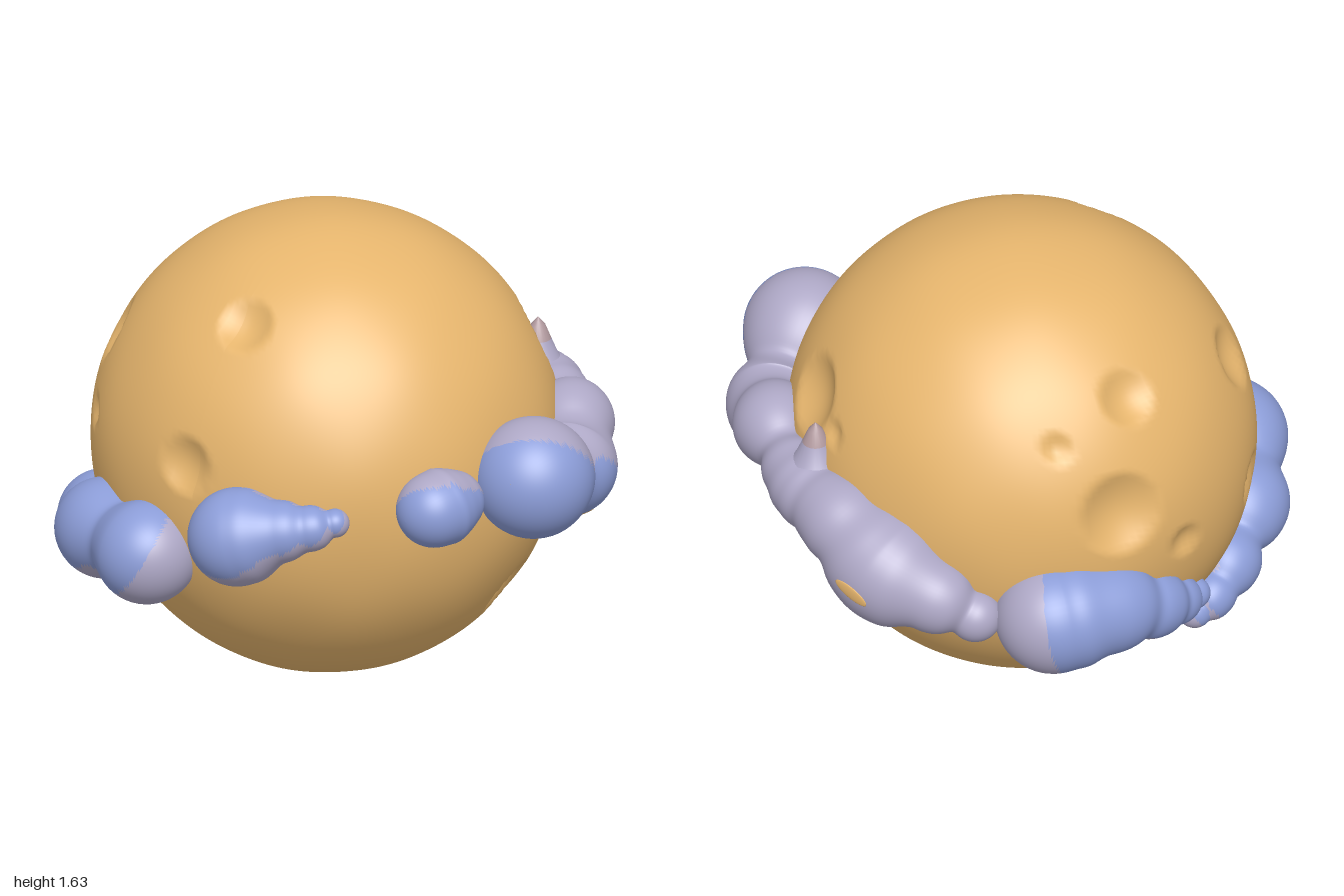
import * as THREE from 'three';

const material = (name, color) => {
  const m = new THREE.MeshStandardMaterial({ color });
  m.name = name;
  return m;
};
const V = (x, y, z) => new THREE.Vector3(x, y, z);

export function createModel() {
  const model = new THREE.Group();
  model.name = 'cloudPlanet';
  const sand = material('sand', 0xe6b56d);
  const blue = material('cloudBlue', 0x8c9dd8);
  const lavender = material('cloudLavender', 0xaea8c6);
  const mauve = material('peakMauve', 0xb29a9f);

  // Craters: direction from the planet centre, then rim radius
  const craters = [
    [0.15, -0.45, 0.65, 0.12], [0.555, 0.31, 0.5, 0.14], [0.68, 0.28, 0.345, 0.048],
    [0.24, 0.52, -0.57, 0.1], [0.51, 0.42, -0.45, 0.055], [0.42, 0.17, -0.65, 0.15],
    [0.2, -0.03, -0.77, 0.065], [-0.27, -0.07, -0.74, 0.095], [0.2, -0.66, -0.48, 0.08],
    [-0.29, -0.78, -0.27, 0.06], [-0.35, 0.36, -0.65, 0.115], [-0.51, 0.12, -0.57, 0.055],
    [-0.53, 0.6, 0.03, 0.1], [-0.77, 0.15, -0.04, 0.1],
  ].map(([x, y, z, r]) => ({ dir: V(x, y, z).normalize(), r: r / 0.8 }));

  // Planet: a sphere with shallow bowls pressed in and a faint unevenness
  const planetGeo = new THREE.SphereGeometry(1, 200, 140);
  const pos = planetGeo.attributes.position;
  const n = V(0, 0, 0);
  for (let i = 0; i < pos.count; i++) {
    n.fromBufferAttribute(pos, i).normalize();
    let s = 1 + 0.003 * Math.sin(9 * n.x + 2) * Math.sin(8 * n.y) * Math.sin(10 * n.z + 1);
    for (const c of craters) {
      const t = n.angleTo(c.dir) / c.r;
      if (t < 1) s -= c.r * 0.38 * (1 - t * t);
    }
    pos.setXYZ(i, n.x * 0.792 * s, n.y * 0.815 * s, n.z * 0.81 * s);
  }
  planetGeo.computeVertexNormals();
  const planet = new THREE.Mesh(planetGeo, sand);
  planet.name = 'planet';
  planet.position.set(-0.008, 0.815, -0.143);
  model.add(planet);

  // Cloud bank: one lumpy skin swept along a row of balls [x, y, z, radius].
  // Faces turned towards the axis by more than cut (+ fade along the bank) are blue.
  function cloudBank(name, axis, cut, fade, balls) {
    const pts = balls.map(b => V(b[0], b[1], b[2]));
    const last = pts.length - 1;
    const beyond = (a, b, r) => a.clone().add(a.clone().sub(b).setLength(r));
    const curve = new THREE.CatmullRomCurve3([
      beyond(pts[0], pts[1], balls[0][3]), ...pts,
      beyond(pts[last], pts[last - 1], balls[last][3]),
    ]);
    const lengths = curve.getLengths(20 * (last + 2));
    const total = lengths[lengths.length - 1];
    const at = balls.map((b, i) => lengths[20 * (i + 1)]);

    // Radius along the path: blended ball outlines plus soft necks
    const radiusAt = s => {
      let sum = 0;
      balls.forEach((b, i) => {
        const r = b[3];
        sum += Math.max(0, r * r - (s - at[i]) ** 2) ** 2.5;
        if (i < last && s > at[i] && s < at[i + 1]) {
          const f = (s - at[i]) / (at[i + 1] - at[i]);
          sum += (0.72 * Math.sin(Math.PI * f) * (r + (balls[i + 1][3] - r) * f)) ** 5;
        }
      });
      return Math.max(sum ** 0.2, 0.0005);
    };

    const rings = 26 * balls.length, sides = 56, verts = [];
    const dir = V(...axis).normalize();
    for (let i = 0; i <= rings; i++) {
      const u = (1 - Math.cos(Math.PI * i / rings)) / 2;
      const p = curve.getPointAt(u);
      const t = curve.getTangentAt(u);
      const across = V(0, 1, 0).cross(t).normalize();
      const up = t.clone().cross(across);
      const r = radiusAt(u * total);
      for (let j = 0; j < sides; j++) {
        const a = j / sides * Math.PI * 2;
        const q = p.clone().addScaledVector(across, r * Math.cos(a)).addScaledVector(up, r * Math.sin(a));
        verts.push(q.x, q.y, q.z);
      }
    }
    const faces = [];
    for (let i = 0; i < rings; i++) for (let j = 0; j < sides; j++) {
      const k = (j + 1) % sides;
      const a = i * sides + j, b = i * sides + k;
      faces.push([a, b, a + sides, i], [b, b + sides, a + sides, i]);
    }
    const geo = new THREE.BufferGeometry();
    geo.setAttribute('position', new THREE.Float32BufferAttribute(verts, 3));
    geo.setIndex(faces.flatMap(f => f.slice(0, 3)));
    geo.computeVertexNormals();

    // Sort the faces into blue and lavender groups
    const normal = V(0, 0, 0);
    const blueFaces = [], lavenderFaces = [];
    for (const [a, b, c, i] of faces) {
      const u = (1 - Math.cos(Math.PI * i / rings)) / 2;
      normal.fromBufferAttribute(geo.attributes.normal, a);
      (normal.dot(dir) > cut + fade * u ? blueFaces : lavenderFaces).push(a, b, c);
    }
    geo.setIndex([...blueFaces, ...lavenderFaces]);
    geo.addGroup(0, blueFaces.length, 0);
    geo.addGroup(blueFaces.length, lavenderFaces.length, 1);
    const mesh = new THREE.Mesh(geo, [blue, lavender]);
    mesh.name = name;
    model.add(mesh);
  }

  cloudBank('smallFrontCloud', [-0.6, -0.55, 0.5], -0.05, 0, [
    [-0.42, 0.875, 0.6, 0.13], [-0.34, 0.88, 0.62, 0.11],
  ]);
  cloudBank('frontCloud', [-0.55, -0.62, 0.45], -0.25, 1.5, [
    [-0.03, 0.89, 0.74, 0.21], [0.28, 0.8, 0.67, 0.165],
    [0.46, 0.87, 0.55, 0.15], [0.63, 0.86, 0.37, 0.115],
    [0.69, 0.845, 0.26, 0.135], [0.76, 0.83, 0.09, 0.155],
    [0.79, 0.74, -0.1, 0.2], [0.79, 0.69, -0.28, 0.135],
    [0.74, 0.62, -0.42, 0.092],
  ]);
  cloudBank('backLeftCloud', [-0.4, 0.2, -0.85], 0.05, 0, [
    [0.59, 0.61, -0.64, 0.2], [0.45, 0.61, -0.76, 0.17],
    [0.29, 0.55, -0.84, 0.125], [0.17, 0.5, -0.87, 0.09],
    [0.06, 0.46, -0.88, 0.055],
  ]);
  cloudBank('backRightCloud', [-0.45, 0.5, -0.65], 0.12, 0, [
    [-0.79, 0.61, -0.34, 0.18], [-0.65, 0.58, -0.61, 0.175],
    [-0.42, 0.5, -0.78, 0.16], [-0.2, 0.42, -0.85, 0.12],
    [-0.07, 0.37, -0.87, 0.085], [0.01, 0.34, -0.85, 0.06],
  ]);
  cloudBank('rightCloud', [-0.75, 0.5, -0.1], 0.3, 0, [
    [-0.82, 0.78, 0.06, 0.17], [-0.78, 0.82, 0.2, 0.11],
    [-0.73, 0.84, 0.3, 0.08], [-0.68, 0.86, 0.37, 0.05],
  ]);

  // Wispy peak rising from the front cloud, with a warmer tip
  function peakPart(name, profile, mat) {
    const points = profile.map(([x, y]) => new THREE.Vector2(x, y));
    const part = new THREE.Mesh(new THREE.LatheGeometry(points, 24), mat);
    part.name = name;
    part.position.set(0.66, 0.89, 0.27);
    model.add(part);
  }
  peakPart('cloudPeak', [[0.14, 0], [0.105, 0.05], [0.07, 0.09], [0.045, 0.15]], lavender);
  peakPart('cloudPeakTip', [[0.045, 0.15], [0.025, 0.2], [0, 0.23]], mauve);

  // Thin sand flecks lying on the puffs
  function fleck(position, facing, width, height, roll) {
    const m = new THREE.Mesh(new THREE.SphereGeometry(1, 20, 12), sand);
    m.name = 'sandFleck';
    m.scale.set(width, height, 0.0049);
    m.position.set(...position);
    m.lookAt(m.position.clone().add(V(...facing)));
    m.rotateZ(roll);
    model.add(m);
  }
  fleck([0.989, 0.738, -0.075], [1, 0, 0.1], 0.07, 0.025, -0.35);
  fleck([0.25, 0.65, 0.735], [-0.1, -0.8, 0.45], 0.06, 0.03, 0);

  return model;
}
